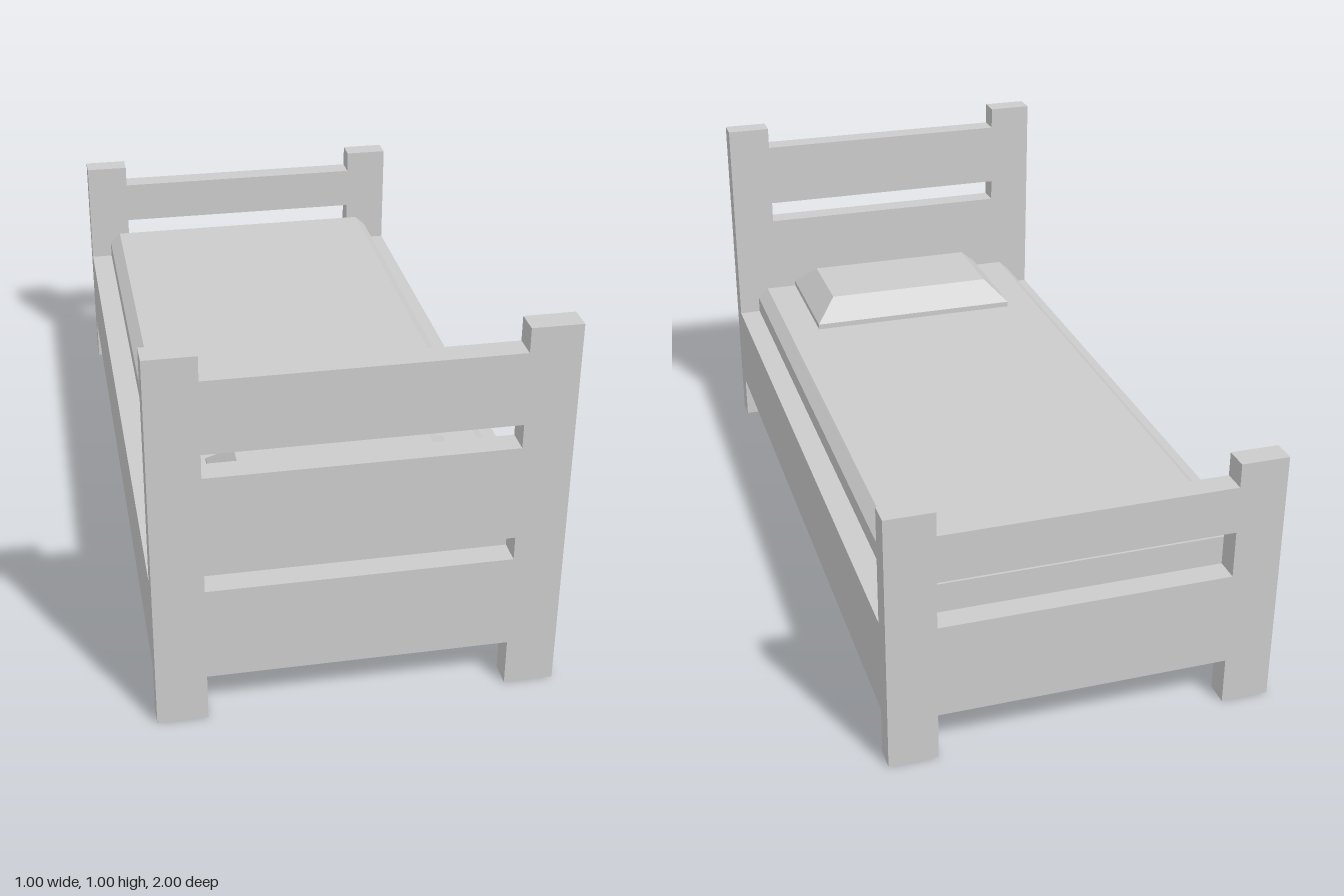
import * as THREE from 'three';

const material = new THREE.MeshStandardMaterial({ color: 0xcccccc, flatShading: true });

function addMesh(parent, name, geometry) {
  const mesh = new THREE.Mesh(geometry, material);
  mesh.name = name;
  parent.add(mesh);
  return mesh;
}

function polygon(points, Type = THREE.Shape) {
  return new Type(points.map(([x, y]) => new THREE.Vector2(x, y)));
}

function rectangle(x, y0, y1, Type) {
  return polygon([[-x, y0], [x, y0], [x, y1], [-x, y1]], Type);
}

function extrude(shape, depth) {
  return new THREE.ExtrudeGeometry(shape, { depth, bevelEnabled: false });
}

const HALF_WIDTH = 0.5;
const POST_INNER = 0.375;
const BOARD = 0.0625;
const INNER_END = 1 - BOARD;

// End board with two posts, a lower cut-out, a lowered top rail and open slots
function endBoard(height, slots) {
  const w = HALF_WIDTH, i = POST_INNER, rail = height - 0.0625;
  const shape = polygon([
    [-w, 0], [-i, 0], [-i, 0.125], [i, 0.125], [i, 0], [w, 0],
    [w, height], [i, height], [i, rail], [-i, rail], [-i, height], [-w, height],
  ]);
  for (const [y0, y1] of slots) shape.holes.push(rectangle(i, y0, y1, THREE.Path));
  return extrude(shape, BOARD);
}

// Cushion with a short vertical rim and four sloping sides
function pillowGeometry() {
  const geometry = new THREE.BoxGeometry(0.625, 2, 0.375, 1, 2, 1);
  const p = geometry.attributes.position;
  const levels = [0.453, 0.469, 0.531];
  for (let n = 0; n < p.count; n++) {
    const level = Math.round(p.getY(n)) + 1;
    const inset = level === 2 ? 0.0625 : 0;
    p.setXYZ(
      n,
      p.getX(n) - Math.sign(p.getX(n)) * inset,
      levels[level],
      p.getZ(n) - Math.sign(p.getZ(n)) * inset,
    );
  }
  geometry.computeVertexNormals();
  return geometry;
}

export function createModel() {
  const bed = new THREE.Group();
  bed.name = 'bed';

  // End boards
  addMesh(bed, 'headboard', endBoard(1, [[0.375, 0.4375], [0.6875, 0.75]])).position.z = INNER_END;
  addMesh(bed, 'footboard', endBoard(0.6875, [[0.375, 0.5]])).position.z = -1;

  // Rectangular frame of side and end rails
  const ring = rectangle(HALF_WIDTH, -INNER_END, INNER_END);
  ring.holes.push(rectangle(0.4375, -0.875, 0.875, THREE.Path));
  const frame = addMesh(bed, 'bedFrame', extrude(ring, 0.25));
  frame.rotation.x = -Math.PI / 2;
  frame.position.y = 0.125;

  // Base panel, recessed from below
  addMesh(bed, 'basePanel', new THREE.BoxGeometry(0.875, 0.1875, 1.75)).position.y = 0.28125;

  // Mattress with bevelled long edges
  const section = polygon([
    [-0.4375, 0.375], [0.4375, 0.375], [0.4375, 0.424],
    [0.406, 0.453], [-0.406, 0.453], [-0.4375, 0.424],
  ]);
  addMesh(bed, 'mattress', extrude(section, 2 * INNER_END)).position.z = -INNER_END;

  // Pillow against the headboard
  addMesh(bed, 'pillow', pillowGeometry()).position.z = 0.75;

  return bed;
}
